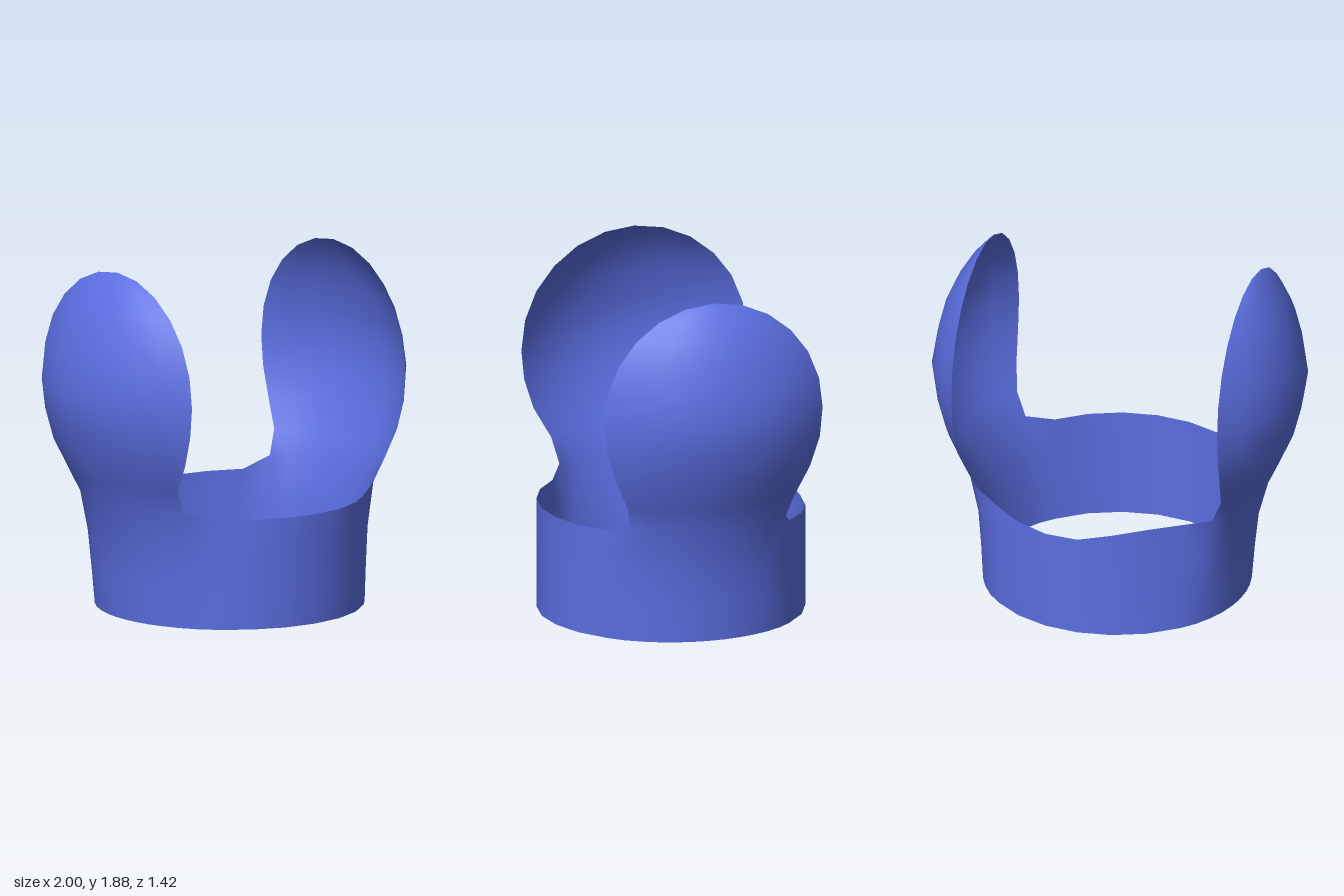
import * as THREE from 'three';
import { mergeGeometries, mergeVertices } from 'three/addons/utils/BufferGeometryUtils.js';

// Side panel cross-sections: [height, x at middle, x at edge, half width]
const SECTIONS = [
  [0, 0.73, 0.588, 0.43], [0.2, 0.738, 0.6, 0.43], [0.4, 0.752, 0.615, 0.43], [0.63, 0.805, 0.658, 0.43],
  [0.76, 0.86, 0.715, 0.46], [0.92, 0.93, 0.738, 0.535], [1.08, 0.972, 0.745, 0.585], [1.24, 1, 0.745, 0.6],
  [1.4, 0.972, 0.745, 0.58], [1.55, 0.935, 0.745, 0.52], [1.675, 0.88, 0.745, 0.425],
  [1.773, 0.82, 0.745, 0.3], [1.834, 0.768, 0.745, 0.155], [1.855, 0.745, 0.745, 0],
];
const BAND_ROWS = 4; // sections shared with the band
const RADIUS = 0.71, CENTER_X = 0.02;

// Point on a side panel: arc across the section, t from -1 (back) to 1 (front)
function sidePoint(side, row, t) {
  let [y, mid, edge, w] = SECTIONS[row];
  if (side < 0) { // the right cup is slightly larger and sits closer in
    mid -= row === SECTIONS.length - 1 ? 0.015 : 0.04 * Math.max(0, 1 - y / 0.8);
    edge -= Math.max(0.015, 0.04 - 0.035 * y);
    if (y > 0.9) w *= 1.033;
    if (y > 1.24) y = 1.24 + (y - 1.24) * 1.033;
  }
  const z = t * w, sag = mid - edge;
  const r = sag > 0.001 ? (w * w + sag * sag) / (2 * sag) : 0;
  const x = r > 0 ? mid - r + Math.sqrt(Math.max(0, r * r - z * z)) : mid;
  return [side * x, y, z - 0.02 * Math.min(1, y)];
}

// Grid of rows (upward) and columns (rightward seen from outside)
function gridSurface(rows, cols, point, flip) {
  const pos = [], index = [];
  for (let r = 0; r < rows; r++) for (let c = 0; c < cols; c++) pos.push(...point(r, c));
  for (let r = 0; r < rows - 1; r++) for (let c = 0; c < cols - 1; c++) {
    const a = r * cols + c, b = a + 1, d = a + cols, e = d + 1;
    if (flip) index.push(a, d, b, b, d, e);
    else index.push(a, b, d, b, e, d);
  }
  const g = new THREE.BufferGeometry();
  g.setAttribute('position', new THREE.Float32BufferAttribute(pos, 3));
  g.setIndex(index);
  return g;
}

// Flared side wall rising into a round dished cup
function sidePanel(side) {
  const cols = 11;
  return gridSurface(SECTIONS.length, cols,
    (r, c) => sidePoint(side, r, -1 + (2 * c) / (cols - 1)), side > 0);
}

// Low band joining the two side panels; tops run from +x to -x
function band(dir, tops) {
  const last = tops.length + 1;
  return gridSurface(BAND_ROWS, last + 1, (r, c) => {
    if (c === 0) return sidePoint(1, r, dir);
    if (c === last) return sidePoint(-1, r, dir);
    const a = THREE.MathUtils.degToRad(45 + 15 * (c - 1));
    const y = tops[c - 1] * SECTIONS[r][0] / SECTIONS[BAND_ROWS - 1][0];
    return [CENTER_X + RADIUS * Math.cos(a), y, dir * RADIUS * Math.sin(a)];
  }, dir > 0);
}

export function createModel() {
  const parts = [
    sidePanel(1), sidePanel(-1),
    band(1, [0.59, 0.59, 0.59, 0.59, 0.59, 0.59, 0.59]),
    band(-1, [0.565, 0.555, 0.545, 0.55, 0.59, 0.615, 0.61]),
  ];
  // Weld the seams so the shell shades as one smooth skin
  const geometry = mergeVertices(mergeGeometries(parts), 1e-4);
  geometry.computeVertexNormals();
  const material = new THREE.MeshStandardMaterial({ color: 0x5b6ee1, side: THREE.DoubleSide });
  const shell = new THREE.Mesh(geometry, material);
  shell.name = 'cuffWithSideCups';
  const group = new THREE.Group();
  group.name = 'cuppedCuff';
  group.add(shell);
  return group;
}
